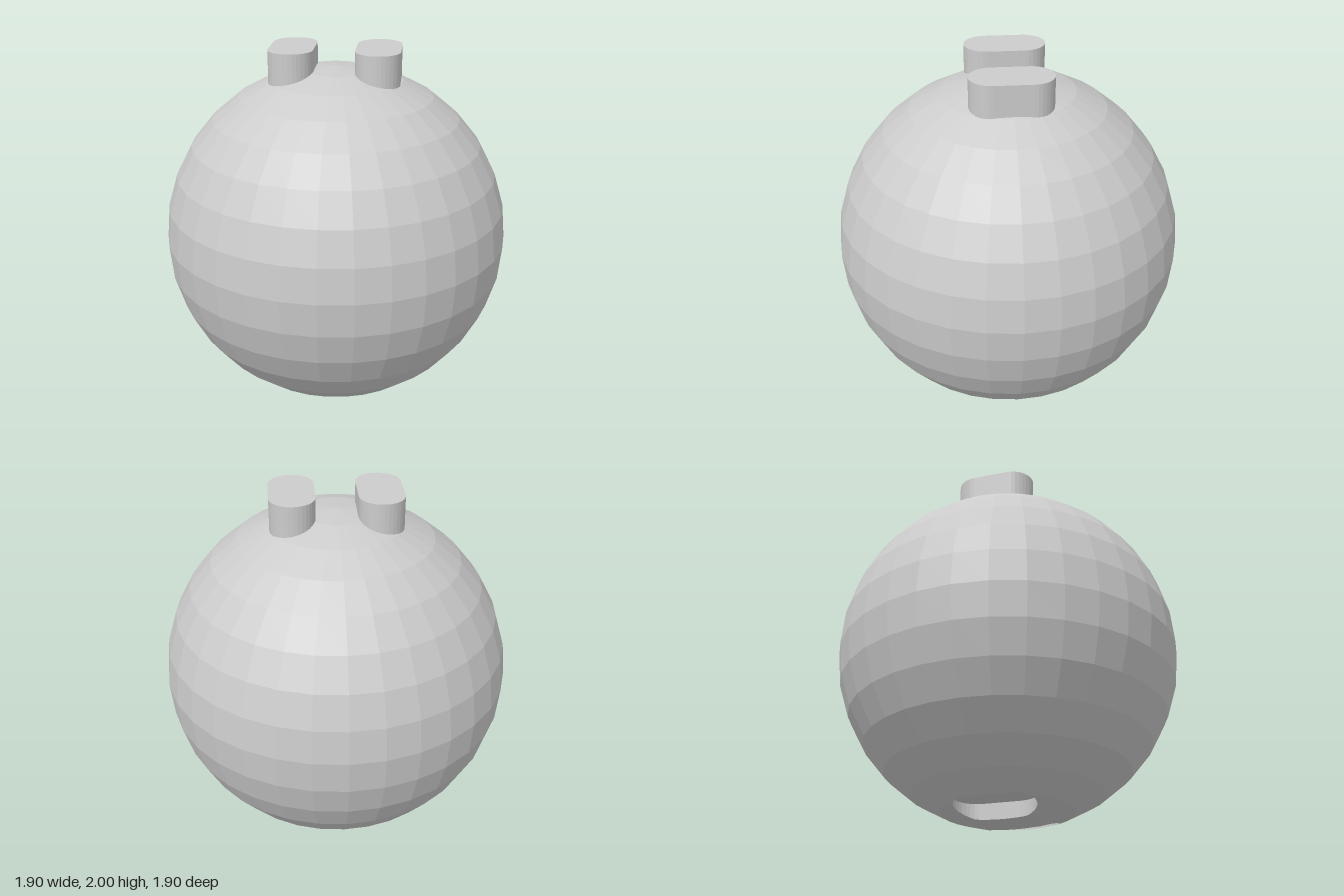
import * as THREE from 'three';

const R = 0.95;          // ball radius, also the height of its centre
const PEG_X = 0.23;      // sideways offset of pegs and sockets
const PEG_R = 0.12;      // radius of their rounded ends
const PEG_STRAIGHT = 0.1; // half length of their straight sides
const SOCKET_TOP = 0.1;  // height of the socket ceiling
const ARC = 16;

const material = new THREE.MeshStandardMaterial({ color: 0xcccccc, flatShading: true });

// Stadium outline in (x, z), counter-clockwise, about a given x
function stadium(cx) {
  const pts = [];
  for (const side of [1, -1]) {
    for (let i = 0; i <= ARC; i++) {
      const a = (i / ARC) * Math.PI;
      pts.push(new THREE.Vector2(cx + side * PEG_R * Math.cos(a), side * (PEG_STRAIGHT + PEG_R * Math.sin(a))));
    }
  }
  return pts;
}

// Signed distance of point p from the vertical plane through edge a-b (positive = inside the outline)
function edgeDistance(p, a, b) {
  return ((b.x - a.x) * (p.z - a.y) - (b.y - a.y) * (p.x - a.x)) / a.distanceTo(b);
}

// Keeps the part of a polygon on one side of the edge plane
function clip(poly, a, b, sign) {
  const out = [];
  poly.forEach((p, i) => {
    const q = poly[(i + 1) % poly.length];
    const dp = sign * edgeDistance(p, a, b);
    const dq = sign * edgeDistance(q, a, b);
    if (dp >= 0) out.push(p);
    if ((dp > 0 && dq < 0) || (dp < 0 && dq > 0)) out.push(p.clone().lerp(q, dp / (dp - dq)));
  });
  return out;
}

function fan(target, poly) {
  for (let i = 1; i < poly.length - 1; i++) target.push(poly[0], poly[i], poly[i + 1]);
}

// Cuts an outline out of one facet; returns the outer pieces and fills in socket ceiling and walls
function cutSocket(poly, outline, socket) {
  const pieces = [];
  const edges = outline.map((a, i) => [a, outline[(i + 1) % outline.length]]);
  let rest = poly;
  for (const [a, b] of edges) {
    const outside = clip(rest, a, b, -1);
    if (outside.length > 2) pieces.push(outside);
    rest = clip(rest, a, b, 1);
    if (rest.length < 3) return [poly];
  }
  const raise = (p) => new THREE.Vector3(p.x, SOCKET_TOP, p.z);
  fan(socket, rest.map(raise));
  rest.forEach((p, i) => {
    const q = rest[(i + 1) % rest.length];
    const onEdge = edges.some(([a, b]) =>
      Math.abs(edgeDistance(p, a, b)) < 1e-6 && Math.abs(edgeDistance(q, a, b)) < 1e-6);
    if (onEdge) fan(socket, [p, q, raise(q), raise(p)]);
  });
  return pieces;
}

function meshFrom(points, name) {
  const geometry = new THREE.BufferGeometry().setFromPoints(points);
  geometry.computeVertexNormals();
  const mesh = new THREE.Mesh(geometry, material);
  mesh.name = name;
  return mesh;
}

export function createModel() {
  const model = new THREE.Group();
  model.name = 'stackingBall';

  // Faceted ball with two sockets cut into the underside
  const sphere = new THREE.SphereGeometry(R, 32, 16).toNonIndexed().translate(0, R, 0);
  const pos = sphere.attributes.position;
  const ball = [];
  const sockets = [{ x: PEG_X, name: 'leftSocket', points: [] }, { x: -PEG_X, name: 'rightSocket', points: [] }];
  for (let i = 0; i < pos.count; i += 3) {
    let polys = [[0, 1, 2].map((k) => new THREE.Vector3().fromBufferAttribute(pos, i + k))];
    if (polys[0].every((p) => p.y < 0.3)) {
      for (const s of sockets) {
        polys = polys.flatMap((poly) => cutSocket(poly, stadium(s.x), s.points));
      }
    }
    polys.forEach((poly) => fan(ball, poly));
  }
  model.add(meshFrom(ball, 'ball'));
  sockets.forEach((s) => model.add(meshFrom(s.points, s.name)));

  // Two stadium-shaped pegs on top
  const pegBase = 1.78;
  const pegGeometry = new THREE.ExtrudeGeometry(new THREE.Shape(stadium(0)), {
    depth: 2 - pegBase, bevelEnabled: false,
  }).rotateX(-Math.PI / 2);
  for (const [name, x] of [['leftPeg', PEG_X], ['rightPeg', -PEG_X]]) {
    const peg = new THREE.Mesh(pegGeometry, material);
    peg.name = name;
    peg.position.set(x, pegBase, 0);
    model.add(peg);
  }
  return model;
}
